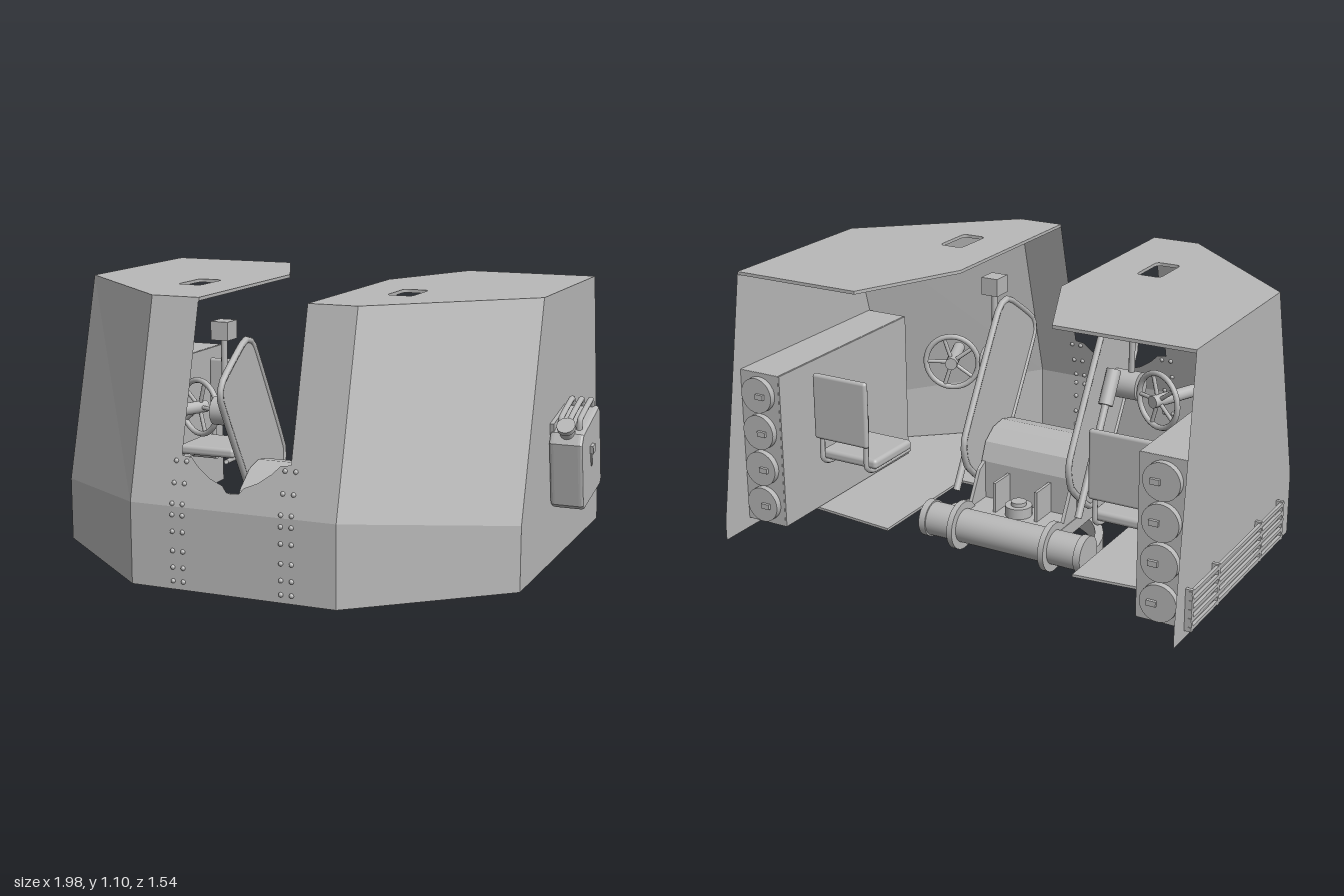
import * as THREE from 'three';
import { RoundedBoxGeometry } from 'three/addons/geometries/RoundedBoxGeometry.js';

const paint = new THREE.MeshStandardMaterial({ color: 0xb8b8b8, side: THREE.DoubleSide });
paint.name = 'grey paint';
const V = (x, y, z) => new THREE.Vector3(x, y, z);

function add(parent, name, geo, x = 0, y = 0, z = 0) {
  const m = new THREE.Mesh(geo, paint);
  m.name = name;
  m.position.set(x, y, z);
  parent.add(m);
  return m;
}
const box = (p, n, w, h, d, x, y, z) => add(p, n, new THREE.BoxGeometry(w, h, d), x, y, z);

// cylinder between two points
function rod(p, n, a, b, r, seg = 20) {
  const m = add(p, n, new THREE.CylinderGeometry(r, r, a.distanceTo(b), seg));
  m.position.copy(a).add(b).multiplyScalar(0.5);
  m.quaternion.setFromUnitVectors(V(0, 1, 0), b.clone().sub(a).normalize());
  return m;
}
function tube(p, n, pts, r, closed = false) {
  return add(p, n, new THREE.TubeGeometry(new THREE.CatmullRomCurve3(pts, closed, 'catmullrom', 0.2), 48, r, 8, closed));
}
// flat faceted sheet made of convex polygons
function sheet(p, n, polys) {
  const pos = [];
  for (const q of polys)
    for (let i = 1; i < q.length - 1; i++) pos.push(...q[0], ...q[i], ...q[i + 1]);
  const g = new THREE.BufferGeometry();
  g.setAttribute('position', new THREE.Float32BufferAttribute(pos, 3));
  g.computeVertexNormals();
  return add(p, n, g);
}
const shapeOf = pts => new THREE.Shape(pts.map(q => new THREE.Vector2(...q)));
const extrude = (s, depth) => new THREE.ExtrudeGeometry(s, { depth, bevelEnabled: false, curveSegments: 10 });
// (x, z) outline with its top at height y
const slab = (p, n, s, t, y) => add(p, n, extrude(s, t).rotateX(Math.PI / 2), 0, y, 0);
// (z, y) outline centred on x
const profile = (p, n, pts, w, x) =>
  add(p, n, extrude(shapeOf(pts), w).rotateY(-Math.PI / 2).translate(w / 2, 0, 0), x, 0, 0);

const SIDE = 0.907, FRONT = 0.393, SLOT = 0.208, BASE = 0.09, TOP = 1.1;
const frontZ = y => (y < 0.39 ? 0.765 : 0.765 - (y - 0.39) * 0.268);

function shieldHalf(p, s) {
  const rearZ = s > 0 ? -0.77 : -0.71;
  const F = s * FRONT, S = s * SIDE, I = s * SLOT, z1 = frontZ(TOP);
  sheet(p, 'frontPlate', [
    [[I, BASE, 0.765], [F, BASE, 0.765], [F, 0.39, 0.765], [I, 0.39, 0.765]],
    [[I, 0.39, 0.765], [F, 0.39, 0.765], [F, TOP, z1], [I, TOP, z1]]]);
  sheet(p, 'cornerPlate', [
    [[F, BASE, 0.765], [S, BASE, 0.33], [S, 0.33, 0.33], [F, 0.39, 0.765]],
    [[F, 0.39, 0.765], [S, 0.33, 0.33], [S, TOP, 0.11], [F, TOP, z1]]]);
  sheet(p, 'sidePlate', [[[S, BASE, 0.33], [S, BASE, rearZ], [S, 0.16, rearZ],
    [S, TOP, -0.61], [S, TOP, 0.11], [S, 0.33, 0.33]]]);
  // roof with a rounded hatch opening
  const roof = shapeOf([[I, z1], [F, z1], [S, 0.11], [S, -0.61], [F, -0.61], [I, -0.2]]);
  const hole = new THREE.Path(), hx = s * 0.418, w = 0.048, r = 0.022;
  hole.moveTo(hx - w + r, 0.07).lineTo(hx + w - r, 0.07);
  hole.quadraticCurveTo(hx + w, 0.07, hx + w, 0.07 + r).lineTo(hx + w, 0.25 - r);
  hole.quadraticCurveTo(hx + w, 0.25, hx + w - r, 0.25).lineTo(hx - w + r, 0.25);
  hole.quadraticCurveTo(hx - w, 0.25, hx - w, 0.25 - r).lineTo(hx - w, 0.07 + r);
  hole.quadraticCurveTo(hx - w, 0.07, hx - w + r, 0.07);
  roof.holes.push(hole);
  slab(p, 'roofPlate', roof, 0.012, TOP);
  // rivet columns
  for (const y of [0.12, 0.17, 0.23, 0.3, 0.36, 0.4, 0.47, 0.545])
    for (const x of [0.188, 0.228])
      add(p, 'rivet', new THREE.SphereGeometry(0.009, 8, 6), s * x, y, frontZ(y));
}

// storage rack with four round covers facing the rear
function rack(p, s) {
  box(p, 'rackInnerWall', 0.012, 0.6, 0.84, s * 0.735, 0.43, -0.21);
  box(p, 'rackTop', 0.17, 0.012, 0.84, s * 0.82, 0.725, -0.21);
  box(p, 'rackBottom', 0.17, 0.012, 0.84, s * 0.82, 0.135, -0.21);
  box(p, 'rackRear', 0.17, 0.6, 0.012, s * 0.82, 0.43, -0.625);
  for (let i = 0; i < 4; i++) {
    const y = 0.21 + i * 0.146;
    rod(p, 'rackCover', V(s * 0.82, y, -0.63), V(s * 0.82, y, -0.655), 0.068, 28);
    box(p, 'rackLatch', 0.035, 0.02, 0.012, s * 0.8, y, -0.66);
  }
}

function seat(p, s) {
  const g = new THREE.Group();
  g.name = 'seat';
  g.position.set(s * 0.58, 0, -0.46);
  p.add(g);
  add(g, 'seatBack', new RoundedBoxGeometry(0.24, 0.26, 0.024, 3, 0.012), 0, 0.57, 0);
  add(g, 'seatPan', new RoundedBoxGeometry(0.25, 0.04, 0.25, 3, 0.015), 0, 0.36, 0.16);
  for (const x of [-0.1, 0.1])
    tube(g, 'seatFrame', [V(x, 0.56, 0.02), V(x, 0.36, 0.01), V(x, 0.33, 0.06), V(x, 0.33, 0.3)], 0.01);
  rod(g, 'seatArm', V(0, 0.33, 0.18), V(s * 0.16, 0.33, 0.18), 0.02);
}

function carriage(p) {
  // transverse tube with flanges
  rod(p, 'crossTube', V(-0.345, 0.1, -0.235), V(0.345, 0.1, -0.235), 0.066, 32);
  for (const s of [-1, 1]) {
    rod(p, 'tubeFlange', V(s * 0.185, 0.1, -0.235), V(s * 0.208, 0.1, -0.235), 0.095, 32);
    rod(p, 'tubeCap', V(s * 0.32, 0.1, -0.235), V(s * 0.348, 0.1, -0.235), 0.072, 32);
    box(p, 'gusset', 0.012, 0.14, 0.11, s * 0.09, 0.2, -0.115);
    profile(p, 'bracketCheek', [[-0.2, 0.1], [-0.06, 0.1], [-0.06, 0.3], [-0.1, 0.28]], 0.014, s * 0.2);
  }
  box(p, 'bracketBase', 0.42, 0.05, 0.14, 0, 0.125, -0.12);
  rod(p, 'pivotBoss', V(0, 0.14, -0.14), V(0, 0.19, -0.14), 0.052, 28);
  rod(p, 'pivotPin', V(0, 0.18, -0.14), V(0, 0.205, -0.14), 0.03, 20);
  // half ring under the floor
  const ring = new THREE.Shape();
  ring.absarc(0, -0.19, 0.347, 0, Math.PI, false);
  ring.absarc(0, -0.19, 0.315, Math.PI, 0, true);
  slab(p, 'turntableRing', ring, 0.07, 0.1);
  // rounded housing between the cheeks
  profile(p, 'cradleHousing', [[-0.06, 0.1], [-0.06, 0.3], [-0.03, 0.37], [0.03, 0.41],
    [0.1, 0.42], [0.18, 0.4], [0.26, 0.34], [0.42, 0.11]], 0.42, 0);
  for (const s of [-1, 1]) {
    const x = s * 0.226;
    const edge = [[-0.16, 0.42], [0.1, 0.86], [0.18, 0.89], [0.36, 0.77], [0.38, 0.69], [0.08, 0.2], [0, 0.18], [-0.14, 0.3]];
    profile(p, 'cheekPlate', edge, 0.012, x);
    tube(p, 'cheekRim', edge.map(([z, y]) => V(x, y, z)), 0.013, true);
    rod(p, 'trunnionDrum', V(s * 0.22, 0.62, 0.2), V(s * 0.34, 0.62, 0.2), 0.055, 24);
    rod(p, 'linkRod', V(s * 0.265, 0.7, 0.12), V(s * 0.265, 0.2, -0.16), 0.014, 12);
    rod(p, 'linkRodSleeve', V(s * 0.265, 0.7, 0.12), V(s * 0.265, 0.58, 0.053), 0.028, 16);
    box(p, 'sightBox', 0.07, 0.07, 0.08, s * 0.3, 0.93, 0.2);
    rod(p, 'sightPost', V(s * 0.3, 0.93, 0.2), V(s * 0.3, 0.62, 0.2), 0.012, 10);
  }
}

function handwheel(p, s) {
  const g = new THREE.Group();
  g.name = 'handwheel';
  g.position.set(s * 0.45, 0.61, 0.12);
  g.rotation.y = s * 0.4;
  p.add(g);
  add(g, 'wheelRim', new THREE.TorusGeometry(0.105, 0.011, 10, 32));
  for (let i = 0; i < 5; i++) {
    const a = i * Math.PI * 0.4;
    rod(g, 'wheelSpoke', V(0, 0, 0), V(Math.cos(a) * 0.1, Math.sin(a) * 0.1, 0), 0.008, 8);
  }
  rod(g, 'wheelShaft', V(0, 0, -0.03), V(0, 0, 0.18), 0.024, 16);
}

function fuelCan(p) {
  const g = new THREE.Group();
  g.name = 'fuelCan';
  g.position.set(0.972, 0.5, -0.133);
  g.rotation.x = 0.19;
  p.add(g);
  const s = shapeOf([[-0.115, -0.165], [0.115, -0.165], [0.13, -0.15], [0.13, 0.085],
    [0.105, 0.115], [-0.115, 0.14], [-0.13, 0.12], [-0.13, -0.15]]);
  const body = new THREE.ExtrudeGeometry(s, { depth: 0.09, bevelThickness: 0.016, bevelSize: 0.006, bevelSegments: 3 });
  add(g, 'canBody', body.rotateY(-Math.PI / 2).translate(0.045, 0, 0));
  for (const x of [-0.035, 0, 0.035])
    tube(g, 'canHandle', [V(x, 0.12, 0.07), V(x, 0.158, 0.055), V(x, 0.175, -0.1), V(x, 0.13, -0.118)], 0.011);
  rod(g, 'canSpout', V(0, 0.1, 0.09), V(0, 0.15, 0.118), 0.028);
  rod(g, 'canCap', V(0, 0.142, 0.112), V(0, 0.158, 0.122), 0.034);
  box(g, 'canStrap', 0.004, 0.08, 0.02, 0.063, 0.0, 0.005);
  box(g, 'canBuckle', 0.014, 0.03, 0.034, 0.066, 0.025, 0.005);
  box(g, 'canMount', 0.02, 0.3, 0.2, -0.06, 0, 0);
}

// horizontal bars on the right side
function sideRail(p) {
  for (let i = 0; i < 5; i++) box(p, 'railBar', 0.012, 0.014, 0.84, -0.927, 0.13 + i * 0.033, -0.21);
  for (const z of [-0.62, -0.4, -0.01, 0.2]) box(p, 'railBracket', 0.026, 0.155, 0.014, -0.92, 0.197, z);
}

export function createModel() {
  const model = new THREE.Group();
  model.name = 'gunShield';
  const p = new THREE.Group();
  p.name = 'shieldAssembly';
  p.position.x = -0.0525;
  model.add(p);

  for (const s of [-1, 1]) {
    shieldHalf(p, s);
    rack(p, s);
    seat(p, s);
  }
  // centre front plate with a scooped upper edge
  const scoop = [[0, 0.45], [0.025, 0.455], [0.04, 0.475], [0.09, 0.495], [0.14, 0.53], [0.17, 0.56], [SLOT, 0.565]];
  const polys = [[[-SLOT, BASE, 0.765], [SLOT, BASE, 0.765], [SLOT, 0.39, 0.765], [-SLOT, 0.39, 0.765]]];
  for (const s of [-1, 1])
    for (let i = 1; i < scoop.length; i++) {
      const [a, ya] = scoop[i - 1], [b, yb] = scoop[i];
      polys.push([[s * a, 0.39, 0.765], [s * b, 0.39, 0.765], [s * b, yb, frontZ(yb)], [s * a, ya, frontZ(ya)]]);
    }
  sheet(p, 'centrePlate', polys);

  // floor with a notch for the carriage
  slab(p, 'floor', shapeOf([[-0.9, -0.4], [-0.9, 0.325], [-0.39, 0.755], [0.39, 0.755], [0.9, 0.325],
    [0.9, -0.4], [0.393, -0.45], [0.393, 0.08], [-0.393, 0.08], [-0.393, -0.45]]), 0.01, 0.125);
  carriage(p);
  handwheel(p, 1);
  handwheel(p, -1);
  fuelCan(p);
  sideRail(p);
  return model;
}
